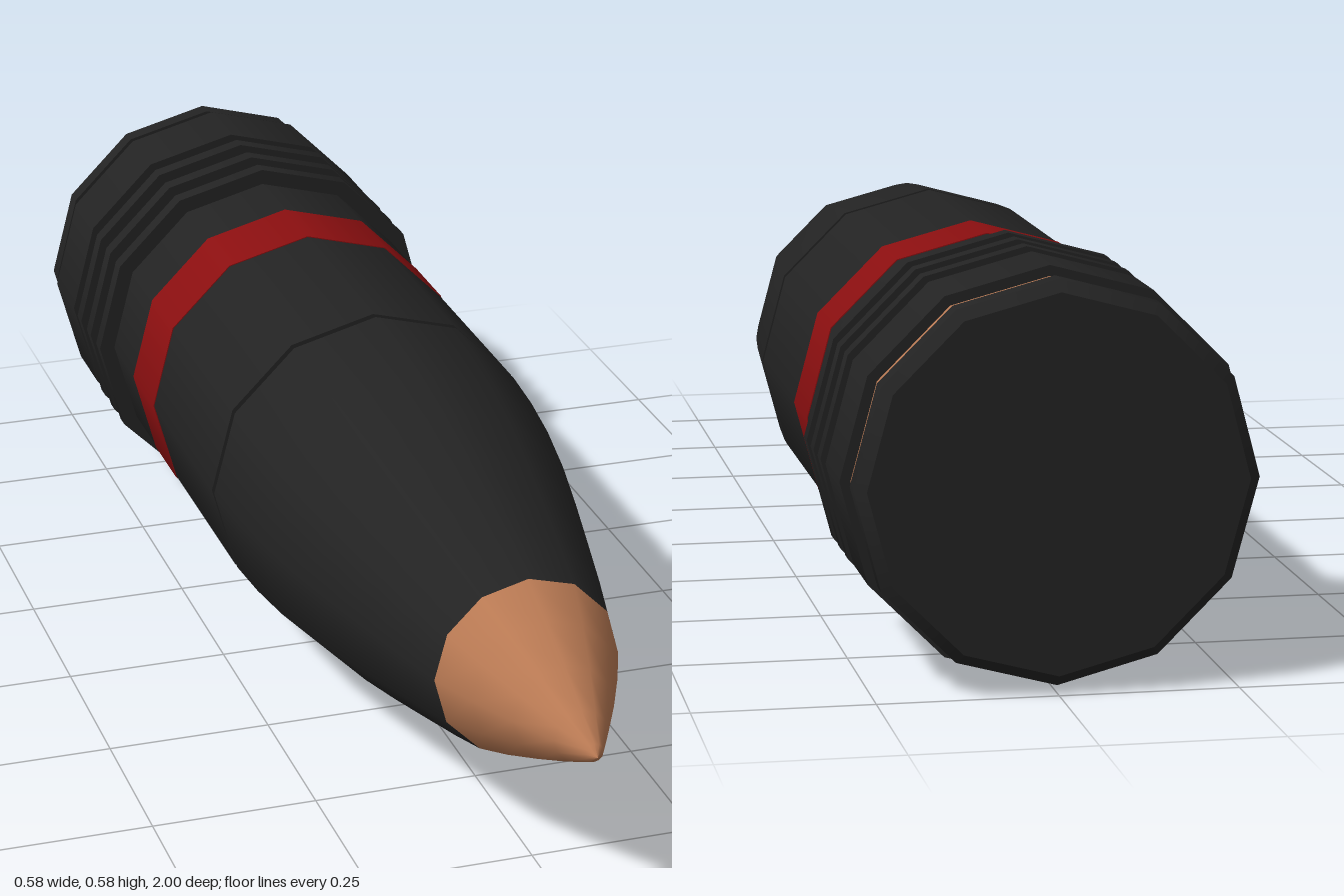
import * as THREE from 'three';
import { mergeGeometries } from 'three/addons/utils/BufferGeometryUtils.js';

const SIDES = 12;
const AXIS_HEIGHT = 0.289;

// Turned part along z. Each run of [radius, z] points is smooth; edges between runs stay sharp.
function turned(name, material, runs) {
  const parts = runs.map((run) =>
    new THREE.LatheGeometry(run.map(([r, z]) => new THREE.Vector2(r, z)), SIDES));
  const geometry = mergeGeometries(parts);
  geometry.rotateX(Math.PI / 2);
  const mesh = new THREE.Mesh(geometry, material);
  mesh.name = name;
  return mesh;
}

// Splits a profile so that every edge is sharp.
const sharp = (points) => points.slice(1).map((p, i) => [points[i], p]);

export function createModel() {
  const dark = new THREE.MeshStandardMaterial({ color: 0x232323 });
  dark.name = 'dark steel';
  const copper = new THREE.MeshStandardMaterial({ color: 0xb87953 });
  copper.name = 'copper';
  const red = new THREE.MeshStandardMaterial({ color: 0x8b0f10 });
  red.name = 'red paint';

  const group = new THREE.Group();
  group.name = 'shell';
  const R = 0.264;

  // Base rim with chamfer and closed back
  group.add(turned('baseRim', dark, sharp([
    [0, -1], [0.262, -1], [0.278, -0.985], [0.278, -0.955], [R, -0.955]])));

  // Copper core showing on both sides of the wide band
  group.add(turned('copperBands', copper, sharp([[0.272, -0.956], [0.272, -0.766], [R, -0.766]])));

  // Wide driving band
  group.add(turned('drivingBand', dark, sharp([
    [0.27, -0.923], [0.287, -0.923], [0.287, -0.8], [0.27, -0.8]])));

  // Three narrow rings
  for (let i = 0; i < 3; i++) {
    const z = -0.766 + i * 0.065;
    group.add(turned('ring' + (i + 1), dark, sharp([
      [0.26, z], [0.289, z], [0.289, z + 0.027], [0.26, z + 0.027]])));
  }

  // Straight body, with the painted stripe between its two lengths
  group.add(turned('rearBody', dark, [[[R, -0.77], [R, -0.477]]]));
  group.add(turned('redStripe', red, sharp([
    [R, -0.477], [0.2655, -0.477], [0.2655, -0.348], [R, -0.348]])));
  group.add(turned('frontBody', dark, sharp([
    [R, -0.348], [R, 0], [0.255, 0], [0.255, 0.013], [R, 0.013]])));

  // Curved forward section
  group.add(turned('ogive', dark, [[
    [R, 0.013], [0.258, 0.11], [0.247, 0.21], [0.229, 0.32],
    [0.206, 0.43], [0.181, 0.54], [0.158, 0.64], [0.139, 0.715]]]));

  // Copper nose
  group.add(turned('nose', copper, [[
    [0.139, 0.715], [0.109, 0.79], [0.075, 0.865], [0.04, 0.935], [0.014, 0.985], [0, 1]]]));

  group.position.y = AXIS_HEIGHT;
  const model = new THREE.Group();
  model.add(group);
  return model;
}
